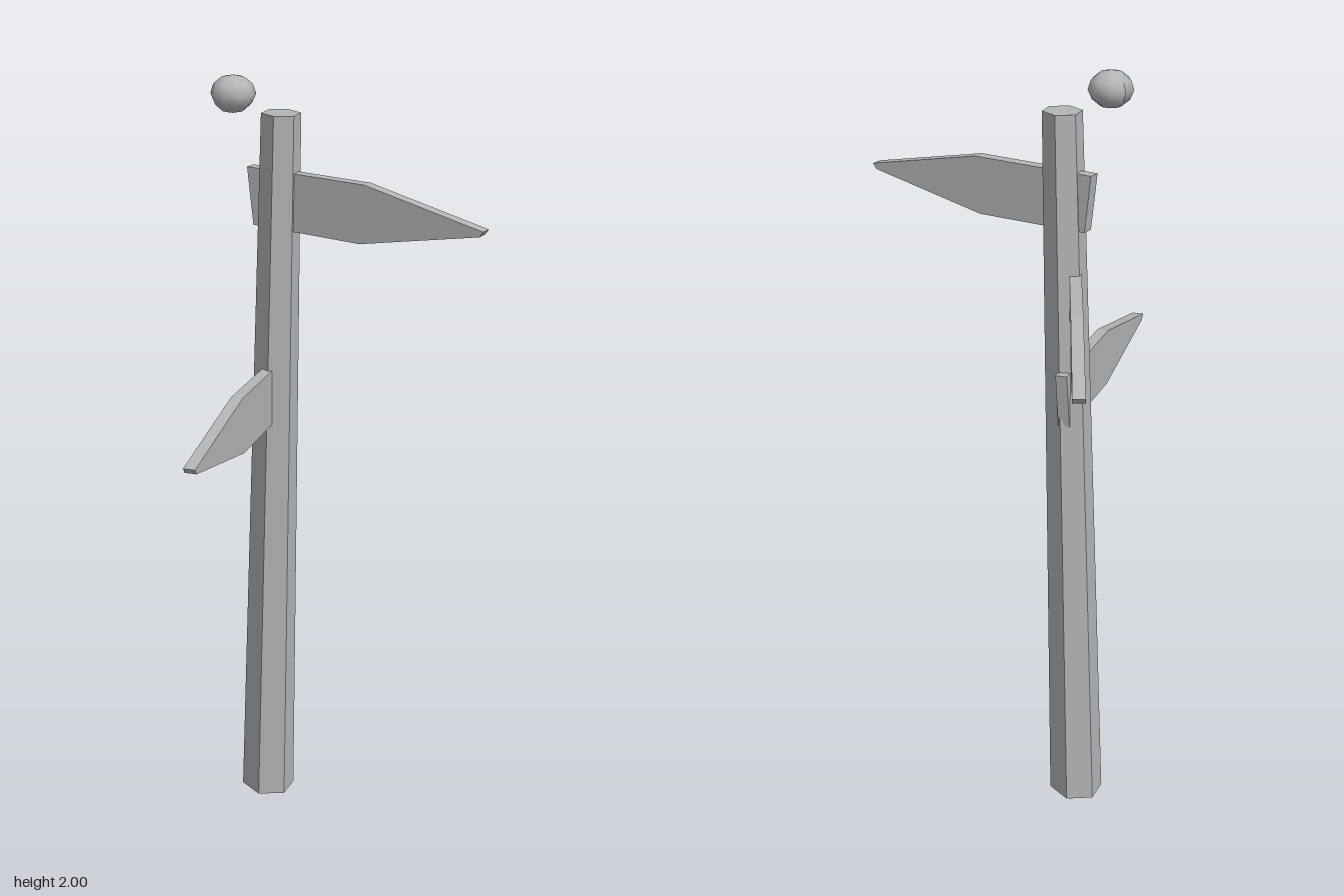
import * as THREE from 'three';

const wood = new THREE.MeshStandardMaterial({ color: 0xb4b4b4 });
wood.name = 'weathered grey';

// Leaning six-sided post that tapers towards the top
function makePost() {
  const height = 1.905;
  let geo = new THREE.CylinderGeometry(1, 1, height, 6, 1, false, Math.PI / 2);
  geo.translate(0, height / 2, 0);
  const p = geo.attributes.position;
  for (let i = 0; i < p.count; i++) {
    const t = p.getY(i) / height;
    const radius = THREE.MathUtils.lerp(0.076, 0.053, t);
    p.setX(i, p.getX(i) * radius + THREE.MathUtils.lerp(-0.035, 0.018, t));
    p.setZ(i, p.getZ(i) * radius * 0.91 + THREE.MathUtils.lerp(-0.067, -0.063, t));
  }
  geo = geo.toNonIndexed();
  geo.computeVertexNormals();
  const mesh = new THREE.Mesh(geo, wood);
  mesh.name = 'post';
  return mesh;
}

// Pointed board running from a slanted tail to a blunt tip
function makeSign(name, tail, tip, y, tilt) {
  const dx = tip[0] - tail[0], dz = tip[1] - tail[1];
  const length = Math.hypot(dx, dz), shoulder = length - 0.335;
  const shape = new THREE.Shape([
    [0.012, -0.073], [shoulder, -0.075], [length - 0.01, -0.008],
    [length, 0.006], [shoulder + 0.01, 0.073], [-0.008, 0.073],
  ].map(([a, b]) => new THREE.Vector2(a, b)));
  const geo = new THREE.ExtrudeGeometry(shape, { depth: 0.03, bevelEnabled: false });
  geo.translate(0, 0, -0.015);
  const mesh = new THREE.Mesh(geo, wood);
  mesh.name = name;
  mesh.position.set(tail[0], y, tail[1]);
  mesh.rotation.set(0, Math.atan2(-dz, dx), tilt);
  return mesh;
}

// Small flattened knob, slightly narrower below
function makeKnob() {
  const geo = new THREE.SphereGeometry(0.057, 9, 6);
  const p = geo.attributes.position;
  for (let i = 0; i < p.count; i++) {
    const y = p.getY(i), s = y < 0 ? 0.95 : 1;
    p.setXYZ(i, p.getX(i) * s, y * 0.82, p.getZ(i) * s);
  }
  geo.computeVertexNormals();
  const mesh = new THREE.Mesh(geo, wood);
  mesh.name = 'knob';
  mesh.position.set(-0.04, 1.954, 0.04);
  return mesh;
}

export function createModel() {
  const group = new THREE.Group();
  group.name = 'signpost';
  group.add(
    makePost(),
    makeSign('upperSign', [-0.065, -0.037], [0.55, -0.272], 1.688, -0.006),
    makeSign('middleSign', [-0.006, -0.043], [-0.545, -0.432], 1.43, 0),
    makeSign('lowerSign', [-0.046, -0.115], [0.335, 0.427], 1.177, -0.006),
    makeKnob(),
  );
  return group;
}
